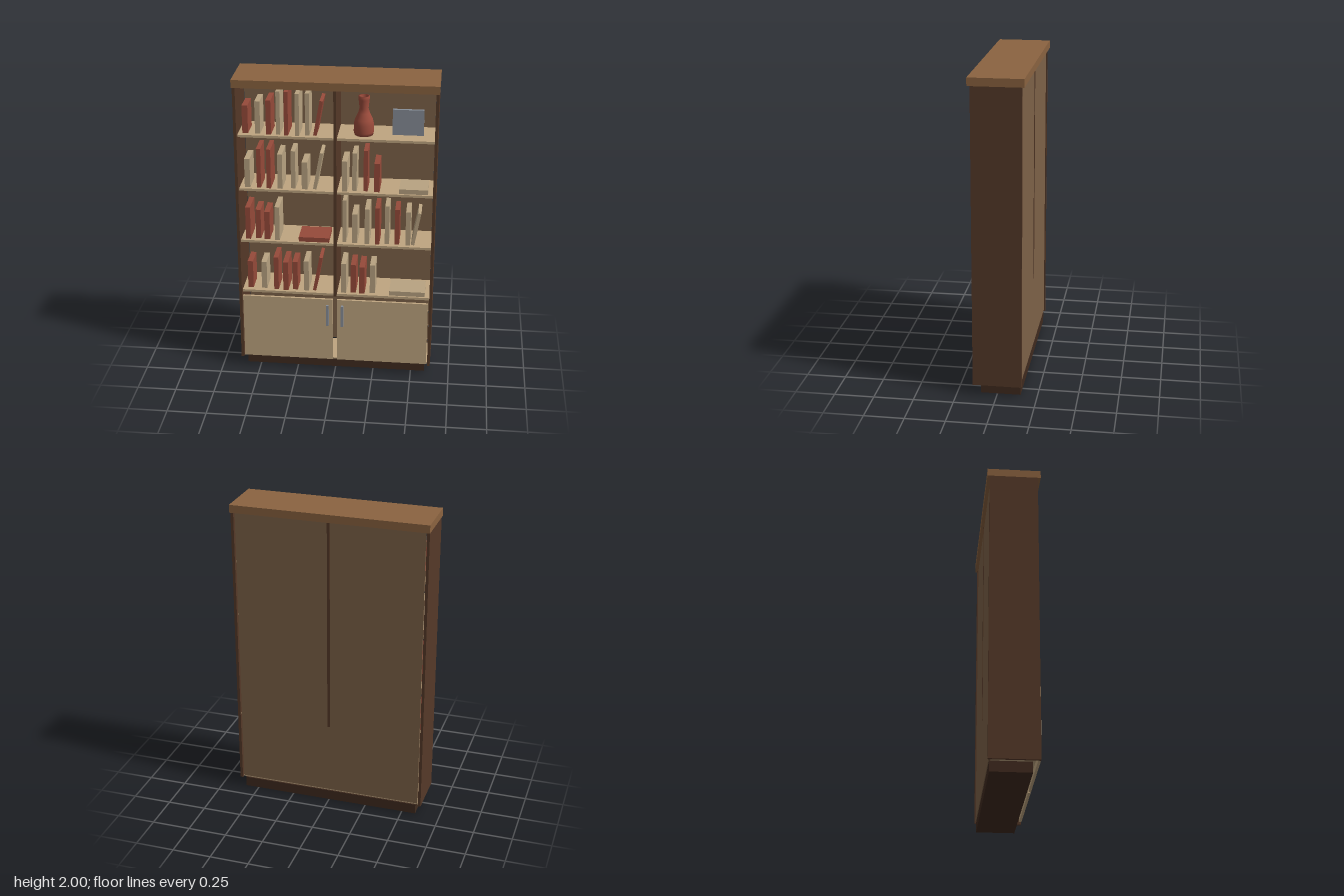
import * as THREE from 'three';

const mat = (color) => new THREE.MeshStandardMaterial({ color });
const M = {
  cap: mat(0x8b6340), side: mat(0x553928), base: mat(0x3f2a1e), light: mat(0xbfa580),
  back: mat(0x7d6248), red: mat(0x964a3a), cream: mat(0xb8a381), vase: mat(0x9c4c3c),
  grey: mat(0x878e98),
};

export function createModel() {
  const root = new THREE.Group();

  // Box given by its lower and upper limits on each axis
  const box = (name, m, [x0, x1], [y0, y1], [z0, z1], parent = root) => {
    const mesh = new THREE.Mesh(new THREE.BoxGeometry(x1 - x0, y1 - y0, z1 - z0), m);
    mesh.position.set((x0 + x1) / 2, (y0 + y1) / 2, (z0 + z1) / 2);
    mesh.name = name;
    parent.add(mesh);
  };

  // Carcass
  box('topSlab', M.cap, [-0.63, 0.63], [1.95, 2], [-0.168, 0.168]);
  box('plinth', M.base, [-0.59, 0.59], [0, 0.066], [-0.145, 0.105]);
  box('bottomPanel', M.light, [-0.61, 0.61], [0.066, 0.076], [-0.135, 0.12]);
  box('backPanel', M.back, [-0.603, 0.603], [0.08, 1.944], [-0.147, -0.137]);
  box('divider', M.side, [-0.009, 0.009], [0.55, 1.95], [-0.15, 0.15]);

  // Sides, doors and handles, mirrored
  for (const s of [-1, 1]) {
    const span = (a, b) => (s > 0 ? [a, b] : [-b, -a]);
    const label = s > 0 ? 'left' : 'right';
    box(label + 'Side', M.side, span(0.609, 0.627), [0.066, 1.95], [-0.155, 0.15]);
    box(label + 'Door', M.light, span(0.014, 0.602), [0.082, 0.528], [0.138, 0.154]);
    box(label + 'Handle', M.grey, span(0.04, 0.056), [0.34, 0.488], [0.154, 0.17]);
  }

  // Shelves at an even pitch, the top one first
  const shelfTop = (r) => 1.631 - 0.359 * r;
  for (let r = 0; r < 4; r++)
    box('shelf', M.light, [-0.61, 0.61], [shelfTop(r) - 0.016, shelfTop(r)], [-0.137, 0.117]);

  const books = new THREE.Group();
  books.name = 'books';
  root.add(books);

  // Upright books: centre x and height; taller ones are thinner, depths cycle
  const standBooks = (r, m, list) => list.forEach(([x, h], i) => {
    const w = 0.036 - 0.11 * (h - 0.18);
    const d = 0.14 + 0.015 * ((i + r) % 3);
    box('book', m, [x - w / 2, x + w / 2], [shelfTop(r), shelfTop(r) + h],
      [0.013 - d / 2, 0.013 + d / 2], books);
  });
  standBooks(0, M.red, [[-0.565, 0.18], [-0.418, 0.22], [-0.307, 0.28]]);
  standBooks(0, M.cream, [[-0.487, 0.21], [-0.358, 0.28], [-0.239, 0.27], [-0.178, 0.27]]);
  standBooks(1, M.red, [[-0.487, 0.26], [-0.423, 0.26], [0.186, 0.27], [0.257, 0.19]]);
  standBooks(1, M.cream, [[-0.56, 0.19], [-0.352, 0.23], [-0.27, 0.25], [-0.197, 0.18],
    [0.055, 0.2], [0.116, 0.25]]);
  standBooks(2, M.red, [[-0.564, 0.22], [-0.5, 0.2], [-0.442, 0.19], [0.264, 0.25], [0.389, 0.24]]);
  standBooks(2, M.cream, [[-0.376, 0.23], [0.054, 0.29], [0.12, 0.2], [0.199, 0.24],
    [0.325, 0.26], [0.459, 0.23]]);
  standBooks(3, M.red, [[-0.56, 0.19], [-0.39, 0.23], [-0.327, 0.2], [-0.267, 0.2],
    [0.113, 0.2], [0.17, 0.19]]);
  standBooks(3, M.cream, [[-0.47, 0.19], [-0.193, 0.21], [0.051, 0.21], [0.237, 0.2]]);

  // Leaning books, each resting on its lower right edge
  const leanBook = (r, x, h, m) => {
    const book = new THREE.Mesh(new THREE.BoxGeometry(0.021, h, 0.15).translate(-0.0105, h / 2, 0), m);
    book.position.set(x, shelfTop(r), 0.013);
    book.rotation.z = -0.18;
    book.name = 'leaningBook';
    books.add(book);
  };
  leanBook(0, -0.12, 0.228, M.red);
  leanBook(1, -0.124, 0.247, M.cream);
  leanBook(2, 0.5, 0.225, M.cream);
  leanBook(3, -0.13, 0.242, M.red);

  // Books lying flat
  const layBook = (r, x0, x1, m) =>
    box('flatBook', m, [x0, x1], [shelfTop(r), shelfTop(r) + 0.031], [-0.065, 0.105], books);
  layBook(1, 0.398, 0.578, M.cream);
  layBook(2, -0.237, -0.042, M.red);
  layBook(3, 0.348, 0.578, M.cream);

  // Picture panel
  box('picturePanel', M.grey, [0.344, 0.537], [shelfTop(0), 1.795], [0, 0.02]);

  // Vase, turned from a wide belly to a narrow neck and flared lip
  const profile = [[0, 0], [0.058, 0], [0.063, 0.02], [0.062, 0.07], [0.055, 0.1], [0.036, 0.14],
    [0.028, 0.17], [0.034, 0.225], [0.035, 0.248], [0.026, 0.248], [0.02, 0.18], [0, 0.17]];
  const vase = new THREE.Mesh(
    new THREE.LatheGeometry(profile.map(([x, y]) => new THREE.Vector2(x, y)), 32), M.vase);
  vase.position.set(0.167, shelfTop(0), 0.02);
  vase.name = 'vase';
  root.add(vase);

  return root;
}
